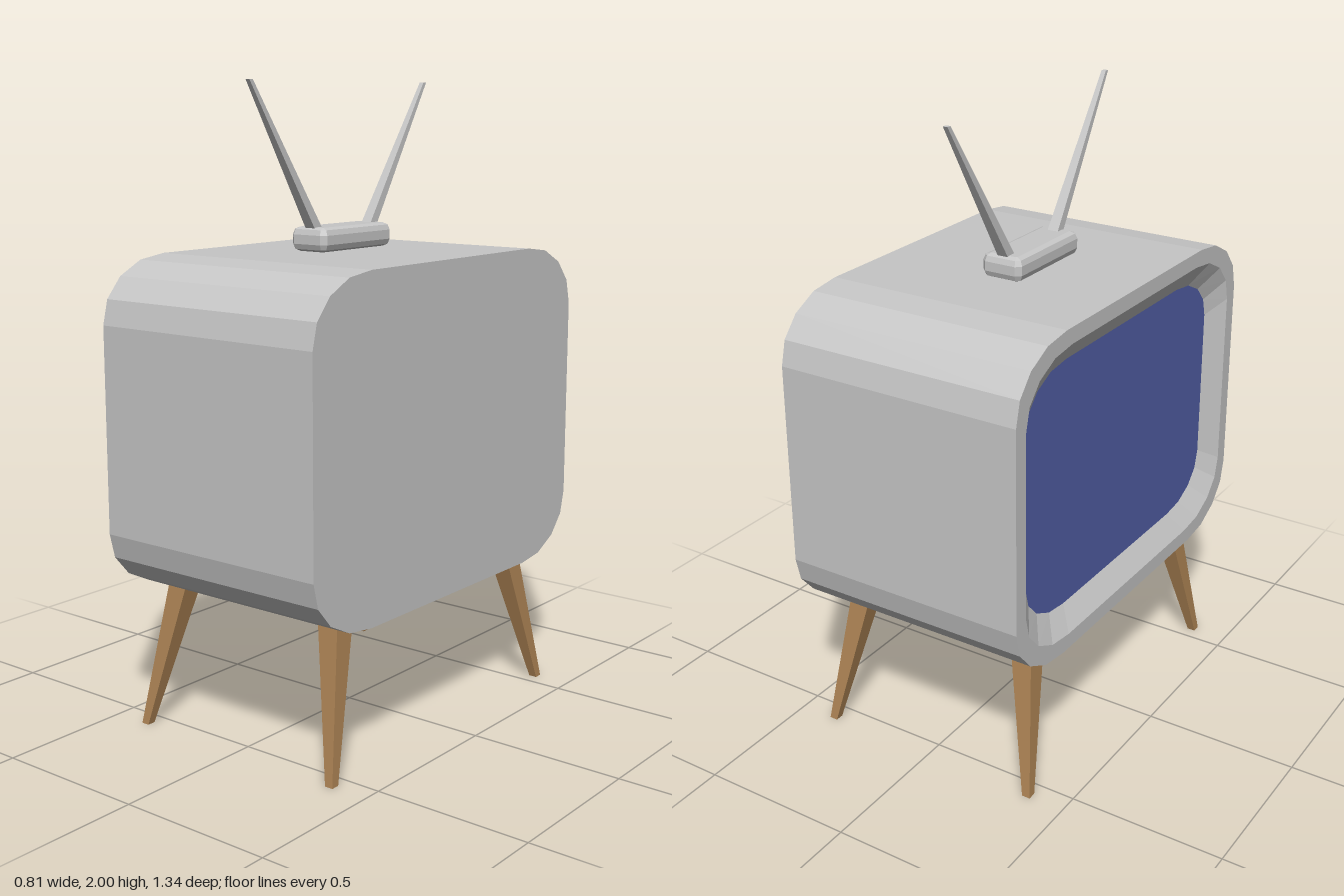
import * as THREE from 'three';

const mat = (name, color) => {
  const m = new THREE.MeshStandardMaterial({ color, flatShading: true });
  m.name = name;
  return m;
};

const MID_Y = 0.961, HALF_Z = 0.669, HALF_Y = 0.519;
// One rounded corner of the cabinet outline: (z, y) offsets from its centre
const CORNER = [[HALF_Z, 0.322], [0.65, 0.399], [0.595, 0.463], [0.51, 0.506], [0.41, HALF_Y]];

// Cabinet outline, shrunk evenly by an inset, counter-clockwise seen from -x
function outline(inset = 0) {
  const sz = (HALF_Z - inset) / HALF_Z, sy = (HALF_Y - inset) / HALF_Y;
  const flip = [...CORNER].reverse();
  return [
    ...CORNER,
    ...flip.map(([z, y]) => [-z, y]),
    ...CORNER.map(([z, y]) => [-z, -y]),
    ...flip.map(([z, y]) => [z, -y]),
  ].map(([z, y]) => new THREE.Vector2(z * sz, MID_Y + y * sy));
}

// Flat panel with the cabinet outline, facing +x (side 1) or -x (side -1)
function panel(inset, x, side) {
  return new THREE.ShapeGeometry(new THREE.Shape(outline(inset)))
    .rotateY(side * Math.PI / 2).translate(x, 0, 0);
}

// Skin joining successive outlines, each given as [x, inset]
function skin(rings) {
  const loops = rings.map(([x, inset]) => outline(inset).map(p => [x, p.y, p.x]));
  const pos = [];
  for (let r = 0; r < loops.length - 1; r++) {
    const a = loops[r], b = loops[r + 1];
    for (let i = 0; i < a.length; i++) {
      const j = (i + 1) % a.length;
      pos.push(...a[i], ...a[j], ...b[j], ...a[i], ...b[j], ...b[i]);
    }
  }
  const g = new THREE.BufferGeometry();
  g.setAttribute('position', new THREE.Float32BufferAttribute(pos, 3));
  g.computeVertexNormals();
  return g;
}

// Square tapered strut with level ends, sheared from a bottom to a top point
function strut(bottom, top, halfBottom, halfTop) {
  const h = top[1] - bottom[1];
  const g = new THREE.CylinderGeometry(halfTop * Math.SQRT2, halfBottom * Math.SQRT2, h, 4);
  g.rotateY(Math.PI / 4).translate(0, h / 2, 0);
  const p = g.attributes.position;
  for (let i = 0; i < p.count; i++) {
    const t = p.getY(i) / h;
    p.setXYZ(i,
      p.getX(i) + THREE.MathUtils.lerp(bottom[0], top[0], t),
      p.getY(i) + bottom[1],
      p.getZ(i) + THREE.MathUtils.lerp(bottom[2], top[2], t));
  }
  g.computeVertexNormals();
  return g;
}

export function createModel() {
  const group = new THREE.Group();
  const grey = mat('grey casing', 0xc6c6c6);
  const wood = mat('brown wood', 0xab8253);
  const blue = mat('blue glass', 0x525fa6);
  const add = (name, geometry, material) => {
    const mesh = new THREE.Mesh(geometry, material);
    mesh.name = name;
    group.add(mesh);
  };

  // Cabinet: outer skin, flat rim and a bevel sloping in to the screen on -x
  const back = 0.403, front = -0.405, screenX = front + 0.046;
  add('cabinet', skin([[back, 0], [front, 0], [front, 0.05], [screenX, 0.12]]), grey);
  add('backPanel', panel(0, back, 1), grey);
  add('screen', panel(0.12, screenX, -1), blue);

  // Four splayed legs
  for (const sx of [-1, 1]) for (const sz of [-1, 1]) {
    add('leg', strut([sx * 0.374, 0, sz * 0.557], [sx * 0.302, 0.455, sz * 0.449], 0.0135, 0.036), wood);
  }

  // Antenna base: small block with softened edges
  const cx = -0.038, cz = -0.012, hx = 0.046, hz = 0.152, c = 0.003;
  const block = new THREE.Shape([
    [hx, -hz + c], [hx, hz - c], [hx - c, hz], [-hx + c, hz],
    [-hx, hz - c], [-hx, -hz + c], [-hx + c, -hz], [hx - c, -hz],
  ].map(([x, z]) => new THREE.Vector2(x, z)));
  add('antennaBase', new THREE.ExtrudeGeometry(block, {
    depth: 0.029, bevelThickness: 0.023, bevelSize: 0.022, bevelSegments: 2,
  }).rotateX(-Math.PI / 2).translate(cx, 1.508, cz), grey);

  // Pair of square, tapered antenna rods
  for (const s of [-1, 1]) {
    add('antennaRod', strut([cx, 1.545, cz + s * 0.132], [cx, 2, cz + s * 0.428], 0.0184, 0.0075), grey);
  }
  return group;
}
